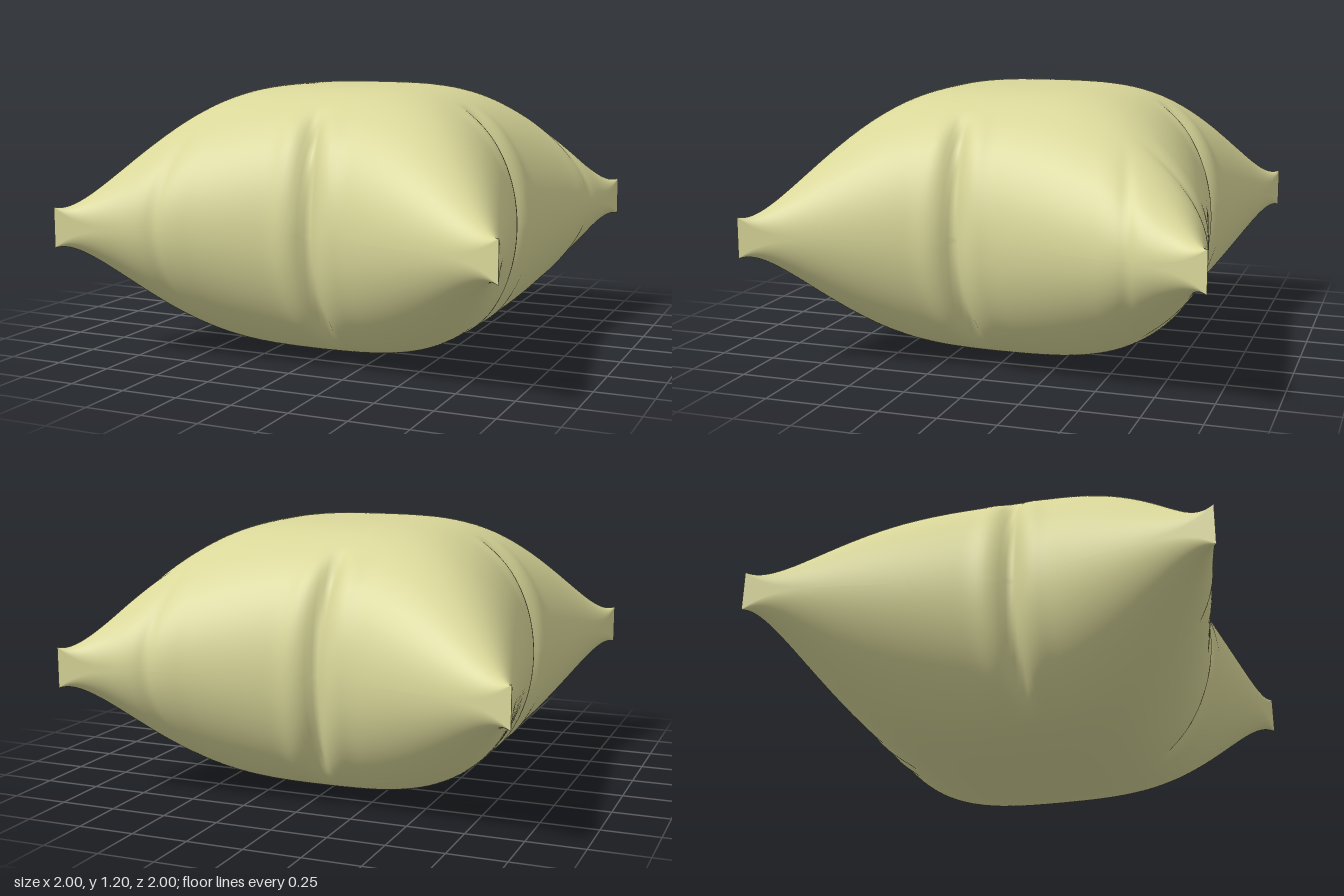
import * as THREE from 'three';
import { mergeVertices } from 'three/addons/utils/BufferGeometryUtils.js';

const N = 140;            // grid cells per side
const HALF = 0.6;         // half of the height

// Cross-section of the inflated body: full in the middle, round at the rim
const bulge = (u) => Math.sqrt(Math.max(0, 1 - Math.abs(u) ** 3.7));
const bell = (d, width) => Math.exp(-((d / width) ** 2));

// Pinched creases of each side: at = place along the side, lean = drift with height
const creases = {
  front: [{ at: 0.11, lean: -0.06, depth: 0.045, width: 0.035 }, { at: -0.56, lean: 0.02, depth: 0.012, width: 0.03 }],
  back: [{ at: -0.11, lean: -0.06, depth: 0.045, width: 0.035 }, { at: 0.62, lean: 0.02, depth: 0.015, width: 0.03 }],
  left: [{ at: 0.11, lean: 0.06, depth: 0.045, width: 0.035 }, { at: -0.67, lean: 0.02, depth: 0.015, width: 0.03 }],
  right: [{ at: 0.11, lean: -0.05, depth: 0.045, width: 0.035 }],
};

// Half-width at position t along a side: straight runs from the pinch to the corners
function reach(t, across, pinch) {
  const tent = t > pinch ? (t - pinch) / (1 - pinch) : (pinch - t) / (1 + pinch);
  const rim = Math.abs(across) ** 6;
  return 0.8 + 0.2 * (t * t * (1 - rim) + tent * rim);
}

// Groove with a soft fold beside it, fading out toward the middle of the cushion
function groove(list, t, across, rise) {
  const near = THREE.MathUtils.smoothstep(Math.abs(across), 0.66, 0.88);
  let sum = 0;
  for (const c of list) {
    const d = t - c.at - c.lean * rise * rise * Math.sign(rise);
    sum += c.depth * (bell(d, c.width) - 0.3 * bell(Math.abs(d) - 0.1, 0.05));
  }
  return sum * near;
}

function surfacePoint(u, v, sign) {
  const sideX = u > 0 ? creases.left : creases.right;
  const sideZ = v > 0 ? creases.front : creases.back;
  const body = bulge(u) * bulge(v);
  const corner = Math.abs(u * v);
  let h = HALF * body * (1 - 0.45 * corner * corner) + 0.09 * corner ** 10;
  const foldX = groove(sideX, v, u, sign * body) * (1 - v * v);
  const foldZ = groove(sideZ, u, v, sign * body) * (1 - u * u);
  const x = u * reach(v, u, sideX[0].at) * (1 - foldX);
  const z = v * reach(u, v, sideZ[0].at) * (1 - foldZ);
  h *= 1 - foldX - foldZ;
  return [x, HALF + sign * h, z];
}

function cushionGeometry() {
  const row = N + 1;
  const count = row * row;
  const positions = [];
  const index = [];
  const id = (i, j) => i * row + j;
  const param = (i) => Math.sin((i / N - 0.5) * Math.PI); // denser toward the rim

  // Top and bottom sheets
  for (const sign of [1, -1])
    for (let i = 0; i <= N; i++)
      for (let j = 0; j <= N; j++) positions.push(...surfacePoint(param(i), param(j), sign));

  for (let i = 0; i < N; i++)
    for (let j = 0; j < N; j++) {
      const a = id(i, j), b = id(i + 1, j), c = id(i, j + 1), d = id(i + 1, j + 1);
      index.push(a, c, b, b, c, d);
      index.push(a + count, b + count, c + count, b + count, d + count, c + count);
    }

  // Narrow upright edge that closes the four corners
  const rim = [];
  for (let k = 0; k < N; k++) rim.push(id(k, N));
  for (let k = N; k > 0; k--) rim.push(id(N, k));
  for (let k = N; k > 0; k--) rim.push(id(k, 0));
  for (let k = 0; k < N; k++) rim.push(id(0, k));
  rim.forEach((p, k) => {
    const q = rim[(k + 1) % rim.length];
    index.push(p + count, q + count, q, p + count, q, p);
  });

  const geometry = new THREE.BufferGeometry();
  geometry.setAttribute('position', new THREE.Float32BufferAttribute(positions, 3));
  geometry.setIndex(index);
  const merged = mergeVertices(geometry, 1e-5);
  merged.computeVertexNormals();
  return merged;
}

export function createModel() {
  const group = new THREE.Group();
  group.name = 'pillow';
  const cushion = new THREE.Mesh(cushionGeometry(), new THREE.MeshStandardMaterial({ color: 0xd9d799 }));
  cushion.name = 'cushion';
  group.add(cushion);
  return group;
}
